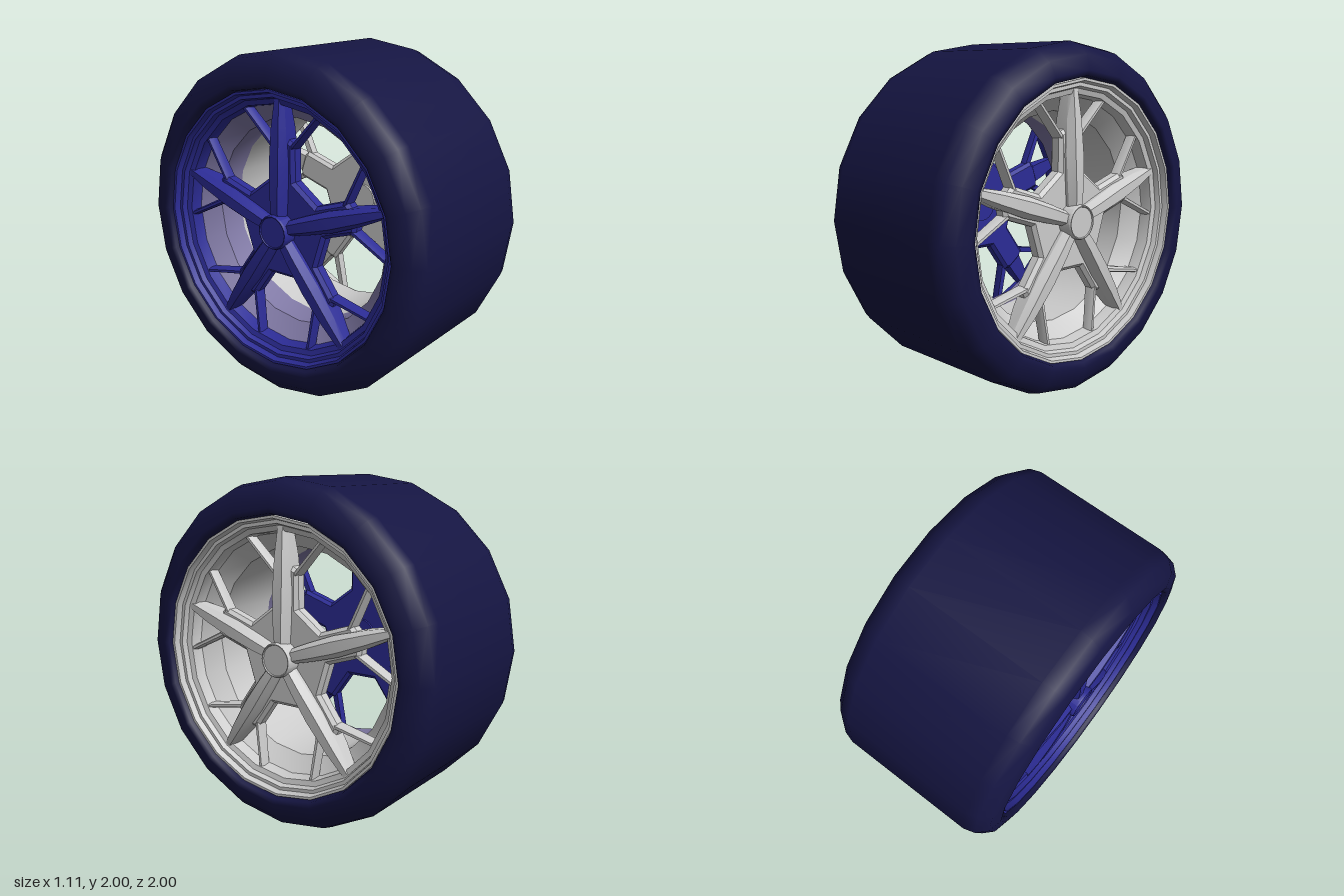
import * as THREE from 'three';
import { toCreasedNormals } from 'three/addons/utils/BufferGeometryUtils.js';

const SIDES = 20;
const SPOKES = 5;

// Turns a profile of [axial, radius] points around the wheel axis (local z).
function turned(profile, crease) {
  const pts = profile.map(([z, r]) => new THREE.Vector2(r, z));
  const geo = new THREE.LatheGeometry(pts, SIDES).rotateX(Math.PI / 2);
  return crease ? toCreasedNormals(geo, crease) : geo;
}

// Bevelled bar along y; each station is [y, outer half width, crest half width, back z, shoulder z, crest z].
function bevelledBar(stations) {
  const positions = [];
  const index = [];
  const n = 6;
  for (const [y, wo, wi, zb, zm, zt] of stations) {
    const ring = [[-wo, zb], [-wo, zm], [-wi, zt], [wi, zt], [wo, zm], [wo, zb]];
    ring.forEach(([x, z]) => positions.push(x, y, z));
  }
  const last = (stations.length - 1) * n;
  for (let i = 0; i < last; i += n) {
    for (let k = 0; k < n; k++) {
      const j = (k + 1) % n;
      index.push(i + k, i + j, i + n + j, i + k, i + n + j, i + n + k);
    }
  }
  for (let k = 1; k < n - 1; k++) {
    index.push(0, k + 1, k, last, last + k, last + k + 1);
  }
  const geo = new THREE.BufferGeometry();
  geo.setAttribute('position', new THREE.Float32BufferAttribute(positions, 3));
  geo.setIndex(index);
  return toCreasedNormals(geo, 0.4);
}

// Star-shaped plate behind the spokes, with straight window edges between the arms.
function starPlate() {
  const shape = new THREE.Shape();
  const arm = [[-0.09, 0.285], [-0.09, 0.5], [-0.05, 0.52], [0.05, 0.52], [0.09, 0.5], [0.09, 0.285]];
  for (let i = 0; i < SPOKES; i++) {
    const a = (-i * Math.PI * 2) / SPOKES;
    arm.forEach(([x, y], k) => {
      const px = x * Math.cos(a) - y * Math.sin(a);
      const py = x * Math.sin(a) + y * Math.cos(a);
      if (i + k === 0) shape.moveTo(px, py);
      else shape.lineTo(px, py);
    });
  }
  shape.closePath();
  return new THREE.ExtrudeGeometry(shape, {
    depth: 0.05, bevelEnabled: true, bevelThickness: 0.02, bevelSize: 0.02, bevelOffset: -0.02, bevelSegments: 1,
  }).translate(0, 0, 0.365);
}

// One rim half, facing local +z; its barrel reaches in to barrelEnd.
function buildRim(faceColor, barrelColor, barrelEnd) {
  const rim = new THREE.Group();
  const face = new THREE.MeshStandardMaterial({ color: faceColor, side: THREE.DoubleSide });
  const inside = new THREE.MeshStandardMaterial({ color: barrelColor, side: THREE.DoubleSide });
  const add = (parent, name, geo, mat = face) => {
    const mesh = new THREE.Mesh(geo, mat);
    mesh.name = name;
    parent.add(mesh);
    return mesh;
  };

  // Stepped lip, then a short cone down to the straight barrel
  add(rim, 'rimLip', turned([
    [0.46, 0.8], [0.525, 0.8], [0.525, 0.785], [0.49, 0.775],
    [0.49, 0.755], [0.46, 0.745], [0.45, 0.715], [0.38, 0.705],
  ], 0.5));
  add(rim, 'barrel', turned([[0.38, 0.705], [0.29, 0.615], [barrelEnd, 0.61]], 0.5), inside);

  // Hub
  add(rim, 'starPlate', starPlate());
  add(rim, 'hubCap', turned([
    [0.33, 0], [0.33, 0.1], [0.51, 0.1], [0.52, 0.095], [0.52, 0.09], [0.513, 0.087], [0.513, 0],
  ], 0.5));

  // Spokes, each with a pair of thin struts branching to the lip
  const spokeGeo = bevelledBar([
    [0.05, 0.04, 0.022, 0.35, 0.455, 0.495],
    [0.2, 0.052, 0.028, 0.35, 0.455, 0.5],
    [0.38, 0.06, 0.032, 0.35, 0.45, 0.495],
    [0.58, 0.048, 0.026, 0.36, 0.44, 0.48],
    [0.76, 0.025, 0.015, 0.38, 0.425, 0.455],
  ]);
  const from = new THREE.Vector2(0.07, 0.475);
  const to = new THREE.Vector2(0.265, 0.675);
  const strutGeo = bevelledBar([
    [0, 0.018, 0.008, 0.365, 0.405, 0.43],
    [from.distanceTo(to), 0.015, 0.007, 0.385, 0.42, 0.445],
  ]);
  for (let i = 0; i < SPOKES; i++) {
    const spoke = new THREE.Group();
    spoke.name = 'spokeArm';
    spoke.rotation.z = (i * Math.PI * 2) / SPOKES;
    add(spoke, 'spoke', spokeGeo);
    for (const s of [-1, 1]) {
      const strut = add(spoke, 'strut', strutGeo);
      strut.position.set(s * from.x, from.y, 0);
      strut.rotation.z = -s * Math.atan2(to.x - from.x, to.y - from.y);
    }
    rim.add(spoke);
  }
  return rim;
}

export function createModel() {
  const wheel = new THREE.Group();
  wheel.name = 'wheel';

  // Tyre: half profile mirrored across the middle
  const half = [[0.41, 1], [0.48, 0.98], [0.535, 0.925], [0.555, 0.84], [0.545, 0.81], [0.48, 0.798]];
  const profile = [...half.map(([z, r]) => [-z, r]).reverse(), ...half];
  const tyre = new THREE.Mesh(
    turned(profile),
    new THREE.MeshStandardMaterial({ color: 0x151542, side: THREE.DoubleSide }),
  );
  tyre.name = 'tyre';
  tyre.rotation.y = Math.PI / 2;
  wheel.add(tyre);

  // Left rim is plain, right rim is blue; the two barrels meet right of the middle
  const leftRim = buildRim(0xcccccc, 0xcccccc, -0.13);
  leftRim.name = 'leftRim';
  leftRim.rotation.y = Math.PI / 2;
  const rightRim = buildRim(0x2c2c96, 0x8079a5, 0.13);
  rightRim.name = 'rightRim';
  rightRim.rotation.y = -Math.PI / 2;
  wheel.add(leftRim, rightRim);

  wheel.position.y = 1;
  const model = new THREE.Group();
  model.add(wheel);
  return model;
}
